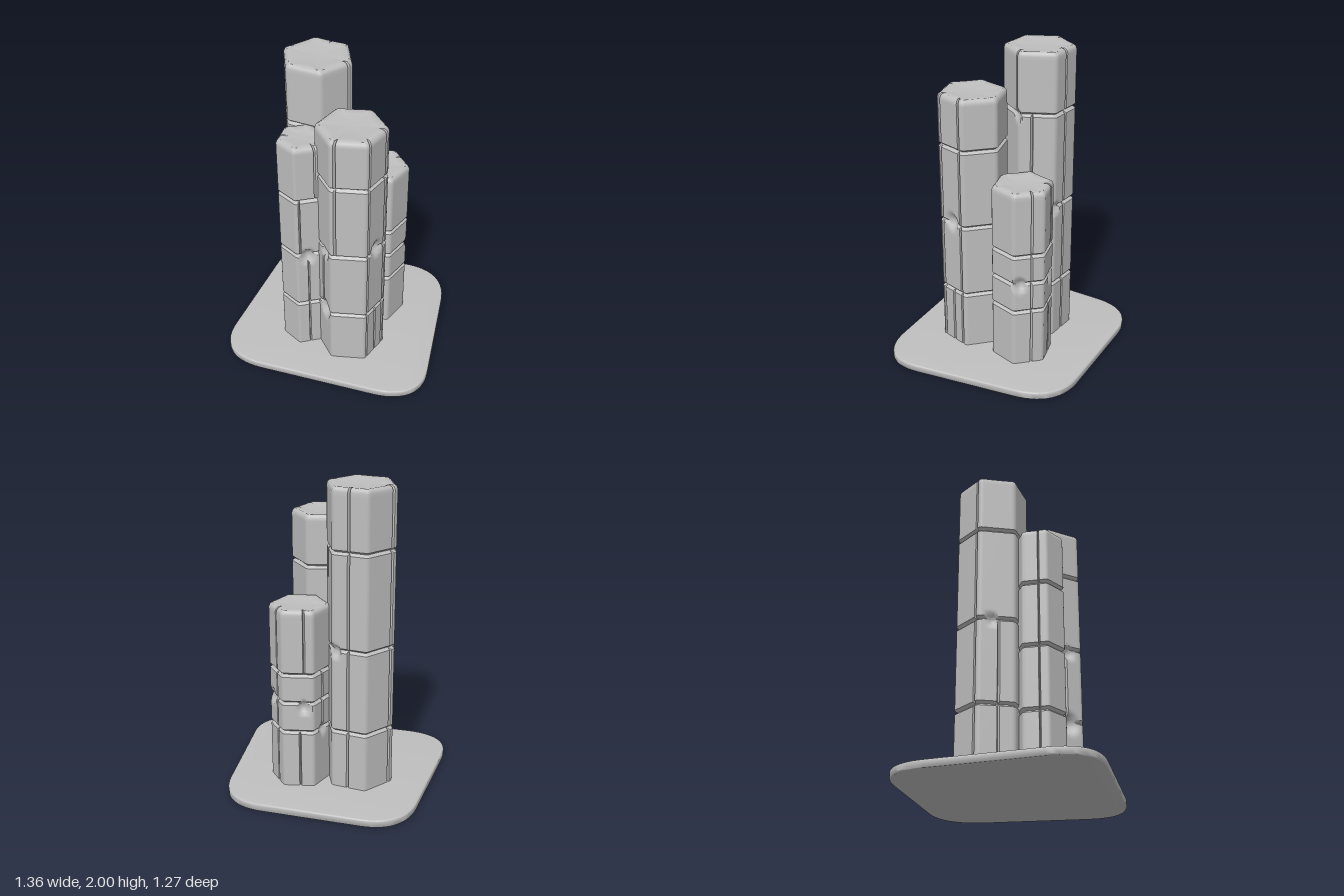
import * as THREE from 'three';
import { toCreasedNormals } from 'three/addons/utils/BufferGeometryUtils.js';

// Each column is a hexagon (middle, radius, turn in degrees) stacked from four blocks.
// A position u around it is the side number plus the fraction along that side.
// cracks run the full height, blockCracks are one per block, chips are [u, y, radius].
const COLUMNS = [
  {
    name: 'tallColumn', x: -0.187, z: -0.087, radius: 0.226, turn: -112,
    top: 2, seams: [0.44, 0.99, 1.61],
    cracks: [0.53, 5.14], blockCracks: [4.45, 4.45, 1.65, 2.12],
    chips: [[0.95, 0.98, 0.05], [4.65, 0.98, 0.05], [2.1, 1.6, 0.04]],
  },
  {
    name: 'shortColumn', x: 0.184, z: -0.157, radius: 0.196, turn: -130,
    top: 1.24, seams: [0.43, 0.63, 0.82],
    cracks: [1.4], blockCracks: [0.45, 5.5, 5.5, 0.3],
    chips: [[1.8, 0.62, 0.055], [0.3, 0.6, 0.05], [5.5, 0.42, 0.04]],
  },
  {
    name: 'frontColumn', x: 0.113, z: 0.222, radius: 0.22, turn: -131,
    top: 1.75, seams: [0.43, 0.91, 1.42],
    cracks: [2.14, 2.9], blockCracks: [2.5, 4.5, 3.88, 3.88],
    chips: [[2.5, 0.92, 0.06], [4.4, 0.41, 0.07], [4.4, 0.88, 0.05]],
  },
  {
    name: 'sideColumn', x: -0.197, z: 0.213, radius: 0.157, turn: -90,
    top: 1.61, seams: [0.4, 0.81, 1.23],
    cracks: [4.35], blockCracks: [2.52, 2.52, 2.85, 2.2],
    chips: [[2.55, 0.79, 0.06]],
  },
];

const BASE_TOP = 0.05;
const BEVEL = 0.028;
const CREASE = 0.8;

// Groove depth at a distance d from its middle line
const groove = (d, halfWidth, depth) => depth * Math.max(0, 1 - Math.abs(d) / halfWidth) ** 0.7;
const ascending = (list) => [...new Set(list)].sort((a, b) => a - b);

function columnGeometry({ x, z, radius, turn, top, seams, cracks, blockCracks, chips }) {
  const corner = (i) => {
    const angle = THREE.MathUtils.degToRad(turn + 60 * i);
    return new THREE.Vector3(Math.cos(angle) * radius, 0, Math.sin(angle) * radius);
  };
  const outlinePoint = (u, y) => {
    const side = Math.floor(u);
    return corner(side).lerp(corner(side + 1), u - side).setY(y);
  };
  const chipBalls = chips.map(([u, y, r]) => new THREE.Sphere(outlinePoint(u, y), r));

  // Samples around the outline; leaving out the exact corners chamfers them
  const around = [];
  for (let side = 0; side < 6; side++) {
    for (let k = 0; k <= 16; k++) around.push(side + 0.04 + (0.92 * k) / 16);
  }
  for (const u of [...cracks, ...blockCracks]) {
    around.push(u - 0.035, u - 0.015, u, u + 0.015, u + 0.035);
  }
  const us = ascending(around);

  // Heights: an even spread plus rows that keep the joints crisp
  const heights = [0.03, top - BEVEL];
  for (let y = BASE_TOP; y < top - BEVEL; y += 0.02) {
    if (seams.every((s) => Math.abs(y - s) > 0.018)) heights.push(y);
  }
  for (const s of seams) heights.push(s - 0.015, s - 0.006, s, s + 0.006, s + 0.015);
  const rings = ascending(heights).map((y) => ({ y, inset: 0 }));
  rings.push({ y: top - 0.01, inset: 0.007 }, { y: top, inset: 0.022 }, { y: top - 0.006, inset: 0.06 });

  const position = [];
  for (const { y, inset } of rings) {
    const block = seams.filter((s) => y > s).length;
    const blockLines = inset < 0.05 ? [...cracks, blockCracks[block]] : [];
    for (const u of us) {
      const p = outlinePoint(u, y);
      let cut = 0;
      for (const s of seams) cut = Math.max(cut, groove(y - s, 0.015, 0.02));
      for (const c of blockLines) cut = Math.max(cut, groove(u - c, 0.035, 0.02));
      for (const ball of chipBalls) {
        const inside = ball.radius ** 2 - p.distanceToSquared(ball.center);
        cut = Math.max(cut, (0.6 * inside) / ball.radius);
      }
      const scale = 1 - (inset + cut) / Math.hypot(p.x, p.z);
      position.push(p.x * scale, y, p.z * scale);
    }
  }

  const n = us.length;
  const index = [];
  for (let j = 0; j < rings.length - 1; j++) {
    for (let i = 0; i < n; i++) {
      const a = j * n + i;
      const b = j * n + ((i + 1) % n);
      index.push(a, a + n, b + n, a, b + n, b);
    }
  }
  // Middle of the shallow top
  position.push(0, top - 0.008, 0);
  const last = (rings.length - 1) * n;
  for (let i = 0; i < n; i++) index.push(last + n, last + ((i + 1) % n), last + i);

  const geometry = new THREE.BufferGeometry();
  geometry.setAttribute('position', new THREE.Float32BufferAttribute(position, 3));
  geometry.setIndex(index);
  geometry.translate(x, 0, z);
  return toCreasedNormals(geometry, CREASE);
}

// Slightly tapered slab with wide rounded corners
function baseGeometry() {
  const corners = [[-0.59, -0.645], [0.6, -0.605], [0.7, 0.64], [-0.705, 0.617]]
    .map(([x, z]) => new THREE.Vector2(x, -z));
  const shape = new THREE.Shape();
  corners.forEach((c, i) => {
    const before = c.clone().lerp(corners[(i + 3) % 4], 0.23);
    const after = c.clone().lerp(corners[(i + 1) % 4], 0.23);
    const handleIn = c.clone().lerp(before, 0.36);
    const handleOut = c.clone().lerp(after, 0.36);
    if (i === 0) shape.moveTo(before.x, before.y);
    else shape.lineTo(before.x, before.y);
    shape.bezierCurveTo(handleIn.x, handleIn.y, handleOut.x, handleOut.y, after.x, after.y);
  });
  shape.closePath();
  const bevel = 0.01;
  const geometry = new THREE.ExtrudeGeometry(shape, {
    depth: BASE_TOP - 2 * bevel, bevelEnabled: true, bevelThickness: bevel,
    bevelSize: bevel, bevelOffset: -bevel, bevelSegments: 3, curveSegments: 14,
  });
  geometry.rotateX(-Math.PI / 2).translate(0, bevel, 0);
  return toCreasedNormals(geometry, CREASE);
}

export function createModel() {
  const stone = new THREE.MeshStandardMaterial({ color: 0xbfbfbf });
  stone.name = 'stone grey';

  const model = new THREE.Group();
  model.name = 'stoneColumns';
  const add = (name, geometry) => {
    const mesh = new THREE.Mesh(geometry, stone);
    mesh.name = name;
    model.add(mesh);
  };
  add('baseSlab', baseGeometry());
  for (const column of COLUMNS) add(column.name, columnGeometry(column));
  return model;
}
